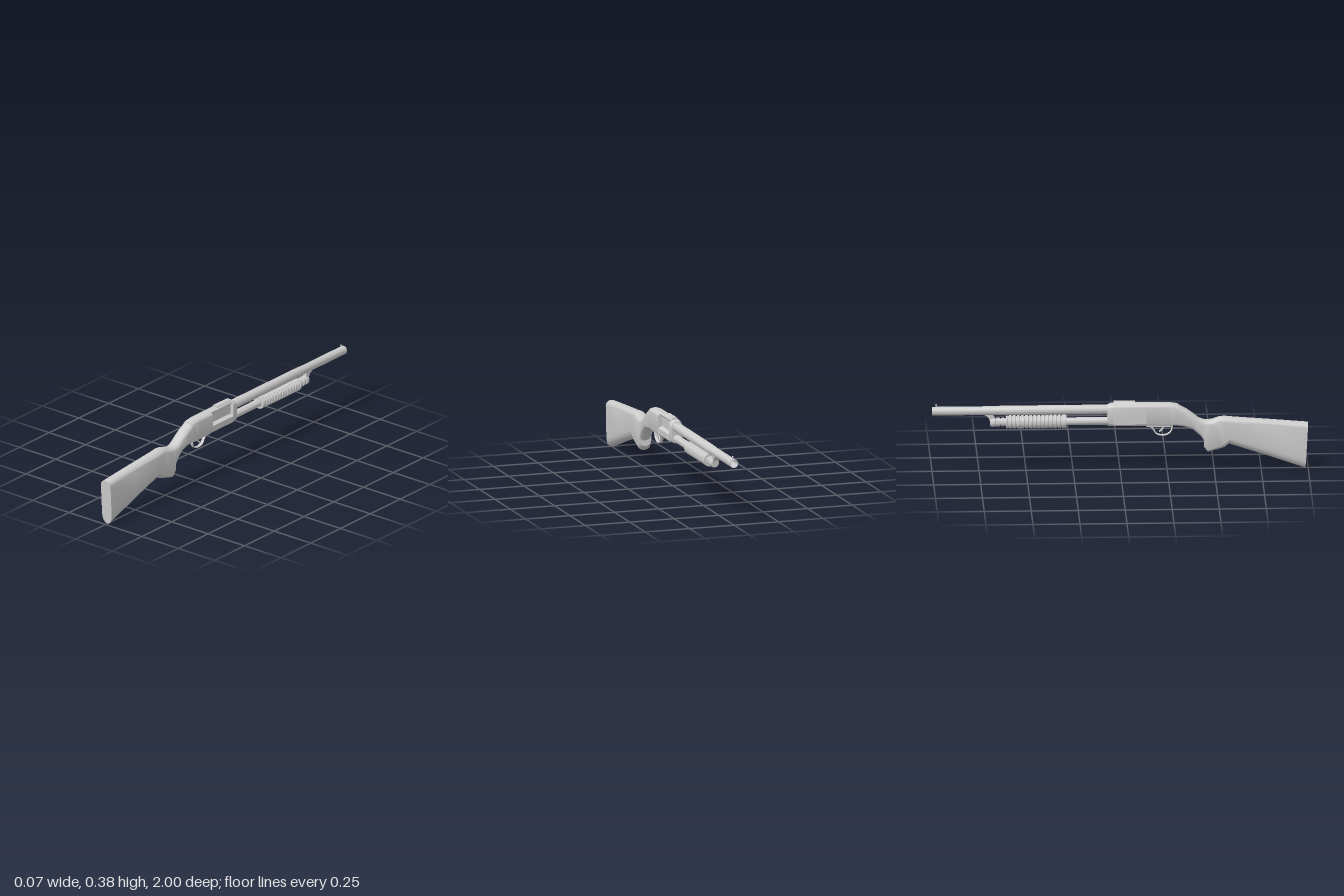
import * as THREE from 'three';
import { toCreasedNormals } from 'three/addons/utils/BufferGeometryUtils.js';

const mat = new THREE.MeshStandardMaterial({ color: 0xcccccc, side: THREE.DoubleSide });
const N = 12; // segments per half section

// Straight-sided outline with an arched top and bottom, counter-clockwise from +x
function outline(yT, yB, w, hT, hB) {
  const pts = [];
  for (let i = 0; i <= N; i++) {
    const a = Math.PI * i / N;
    pts.push([w * Math.cos(a), yT - hT + hT * Math.sin(a)]);
  }
  for (let i = 0; i <= N; i++) {
    const a = Math.PI * (1 + i / N);
    pts.push([w * Math.cos(a), yB + hB + hB * Math.sin(a)]);
  }
  return pts;
}

// Skins slanted stations [zTop, yTop, zBottom, yBottom, halfWidth, topArch, bottomArch], rear to front
function loft(stations) {
  const pos = [], idx = [], n = 2 * N + 2;
  for (const [zT, yT, zB, yB, w, hT, hB] of stations) {
    for (const [x, y] of outline(yT, yB, w, hT, hB)) {
      pos.push(x, y, zB + (zT - zB) * (y - yB) / (yT - yB));
    }
  }
  const last = (stations.length - 1) * n;
  for (let j = 0; j < n; j++) {
    const k = (j + 1) % n;
    for (let r = 0; r < last; r += n) {
      idx.push(r + j, r + n + j, r + k, r + k, r + n + j, r + n + k);
    }
    if (j > 0 && k > 0) {
      idx.push(0, j, k, last, last + k, last + j);
    }
  }
  const g = new THREE.BufferGeometry();
  g.setAttribute('position', new THREE.Float32BufferAttribute(pos, 3));
  g.setIndex(idx);
  return toCreasedNormals(g, 0.6);
}

// Turned part along the bore; profile is [radius, z] from rear to front
function turned(profile, y, segments = 32) {
  const pts = profile.map(([r, z]) => new THREE.Vector2(r, -z));
  const g = new THREE.LatheGeometry(pts, segments).rotateX(-Math.PI / 2).translate(0, y, 0);
  return toCreasedNormals(g, 0.6);
}

function extrude(points, depth) {
  const shape = new THREE.Shape(points.map(p => new THREE.Vector2(...p)));
  return new THREE.ExtrudeGeometry(shape, { depth, bevelEnabled: false });
}

// Side profile of [z, y] points given thickness across x
function sidePlate(points, width) {
  return extrude(points.map(([z, y]) => [-z, y]), width).translate(0, 0, -width / 2).rotateY(Math.PI / 2);
}

// Bent strip in the centre plane, flattened across x
function strip(points, radius, widen) {
  const curve = new THREE.CatmullRomCurve3(points.map(([z, y]) => new THREE.Vector3(0, y, z)));
  return new THREE.TubeGeometry(curve, 32, radius, 10).scale(widen, 1, 1);
}

export function createModel() {
  const model = new THREE.Group();
  const add = (name, geometry) => {
    const mesh = new THREE.Mesh(geometry, mat);
    mesh.name = name;
    model.add(mesh);
    return mesh;
  };

  // Butt, pistol grip and wrist in one skin
  add('stock', loft([
    [1.0, 0.253, 0.985, 0.0, 0.033, 0.028, 0.052],
    [0.8, 0.27, 0.78, 0.072, 0.034, 0.028, 0.045],
    [0.6, 0.286, 0.578, 0.139, 0.034, 0.028, 0.035],
    [0.555, 0.291, 0.556, 0.12, 0.034, 0.028, 0.03],
    [0.53, 0.289, 0.53, 0.112, 0.034, 0.028, 0.026],
    [0.49, 0.276, 0.466, 0.095, 0.034, 0.028, 0.024],
    [0.465, 0.272, 0.447, 0.12, 0.034, 0.03, 0.024],
    [0.44, 0.275, 0.45, 0.15, 0.034, 0.03, 0.028],
    [0.415, 0.286, 0.43, 0.182, 0.034, 0.03, 0.03],
    [0.385, 0.311, 0.388, 0.219, 0.034, 0.03, 0.03],
    [0.35, 0.336, 0.335, 0.238, 0.034, 0.028, 0.02],
    [0.308, 0.358, 0.28, 0.246, 0.033, 0.024, 0.012],
  ]));

  // Receiver: solid rear, slotted middle, front collar
  add('receiverRear', loft([
    [0.311, 0.36, 0.283, 0.245, 0.034, 0.024, 0.012],
    [0.29, 0.366, 0.26, 0.245, 0.034, 0.023, 0.012],
    [0.25, 0.37, 0.24, 0.245, 0.034, 0.022, 0.012],
    [0.14, 0.37, 0.14, 0.245, 0.034, 0.022, 0.012],
  ]));
  const arch = outline(0.37, 0.245, 0.034, 0.022, 0.012).slice(0, N + 1).filter(p => p[0] < 0.026);
  const middle = [
    [0.02, 0.275], [0.02, 0.246], [0.029, 0.25], [0.034, 0.257], // loading slot edge
    [0.034, 0.287], [0.013, 0.297], [0.013, 0.352], // ejection port
    ...arch,
    [-0.034, 0.257], [-0.029, 0.25], [-0.02, 0.246], [-0.02, 0.275],
  ];
  add('receiverMiddle', toCreasedNormals(extrude(middle, 0.175).translate(0, 0, -0.035), 0.6));
  add('receiverCollar', loft([
    [-0.035, 0.37, -0.035, 0.243, 0.034, 0.024, 0.024],
    [-0.055, 0.368, -0.055, 0.243, 0.033, 0.026, 0.026],
    [-0.068, 0.362, -0.068, 0.245, 0.03, 0.028, 0.028],
  ]));
  add('topRib', extrude([[-0.022, 0.364], [0.022, 0.364], [0.012, 0.378], [-0.012, 0.378]], 0.115)
    .translate(0, 0, -0.035));

  // Barrel with open muzzle, and bead sight
  add('barrel', turned([
    [0.026, -0.05], [0.0255, -0.64], [0.0235, -0.645], [0.0235, -1],
    [0.019, -1], [0.019, -0.85], [0, -0.85],
  ], 0.334));
  add('sightPost', new THREE.CylinderGeometry(0.003, 0.004, 0.014, 10).translate(0, 0.361, -0.978));
  add('sightBead', new THREE.SphereGeometry(0.005, 12, 8).translate(0, 0.368, -0.978));

  // Magazine tube, ribbed pump grip and end cap
  const magY = 0.27;
  add('magazineTube', turned([[0, -0.05], [0.021, -0.05], [0.021, -0.62], [0, -0.62]], magY));
  const grip = [[0.021, -0.285], [0.034, -0.285], [0.036, -0.29]];
  const ribs = 14, pitch = 0.305 / ribs;
  for (let i = 0; i < ribs; i++) {
    const z = -0.295 - i * pitch;
    grip.push([0.036, z], [0.036, z - pitch * 0.55], [0.031, z - pitch * 0.68], [0.031, z - pitch * 0.87]);
  }
  grip.push([0.036, -0.6], [0.034, -0.606], [0.018, -0.606]);
  add('pumpGrip', turned(grip, magY));
  add('magazineCap', turned([
    [0.017, -0.6], [0.017, -0.618], [0.024, -0.618], [0.024, -0.63], [0.019, -0.632], [0.019, -0.638],
    [0.025, -0.64], [0.025, -0.656], [0.021, -0.658], [0.021, -0.663], [0.025, -0.665], [0.025, -0.68],
    [0.02, -0.69], [0, -0.69],
  ], magY));
  add('barrelLug', sidePlate([
    [-0.66, 0.25], [-0.69, 0.25], [-0.694, 0.285], [-0.704, 0.302], [-0.722, 0.312], [-0.722, 0.32],
    [-0.675, 0.32], [-0.67, 0.295], [-0.66, 0.285],
  ], 0.024));

  // Trigger group
  add('triggerPlate', new THREE.BoxGeometry(0.036, 0.01, 0.14).translate(0, 0.244, 0.21));
  add('triggerGuard', strip([
    [0.277, 0.245], [0.273, 0.215], [0.253, 0.195], [0.224, 0.189], [0.194, 0.197],
    [0.178, 0.22], [0.163, 0.236], [0.14, 0.243],
  ], 0.0045, 2.2));
  add('trigger', strip([[0.238, 0.246], [0.23, 0.23], [0.22, 0.217], [0.208, 0.208]], 0.005, 1));

  return model;
}
